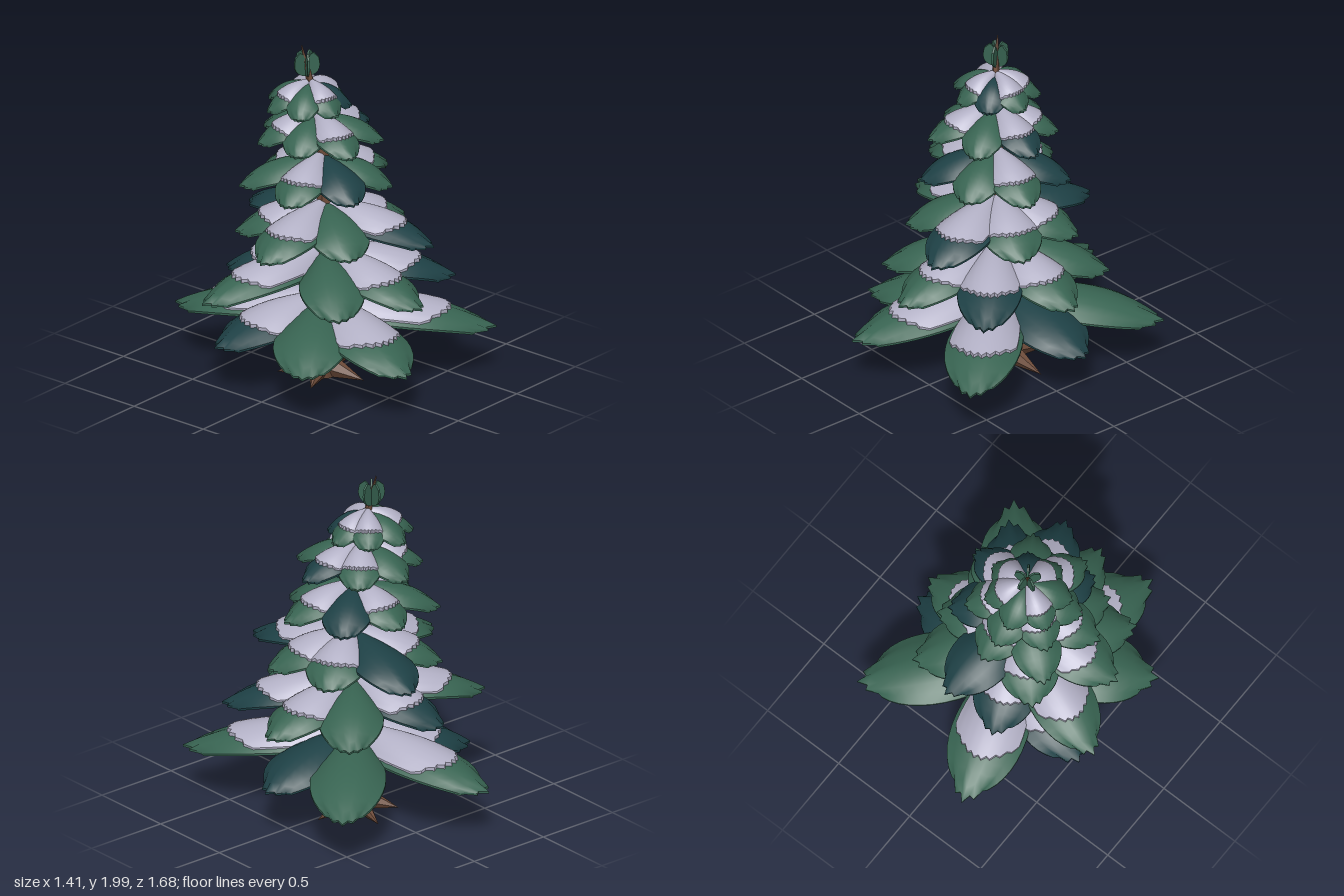
import * as THREE from 'three';

const flat = (name, color, extra = {}) => Object.assign(new THREE.MeshStandardMaterial({ color, ...extra }), { name });

// Height, centre x, centre z and radius of the leaning trunk
const TRUNK = [
  [0.01, 0.03, -0.01, 0.09], [0.08, 0.03, -0.01, 0.1], [0.3, 0.025, -0.01, 0.105], [0.55, 0.012, 0.01, 0.085],
  [1.15, 0.005, 0.035, 0.05], [1.4, -0.01, 0.02, 0.043], [1.84, -0.065, -0.03, 0.018], [2, -0.087, -0.06, 0.003],
];

// Each tier has seven evenly turned boughs: tip and root height, half width, first angle,
// bough lengths, which boughs are dark or snowy, and optional angle shifts in degrees
const TIERS = [
  { low: 0.29, high: 0.495, half: 0.21, start: -4, lengths: [0.69, 0.96, 0.88, 0.77, 0.67, 0.885, 0.91],
    dark: [0, 4], snowy: [1, 2, 4, 5], shift: [0, 2, 9, -2, 1, 0, 10] },
  { low: 0.585, high: 0.785, half: 0.18, start: -2, lengths: [0.65, 0.73, 0.71, 0.64, 0.77, 0.57, 0.62],
    dark: [1, 5], snowy: [0, 1, 2, 4, 5], shift: [0, -4, -11, -20, -3, -6, 6] },
  { low: 0.885, high: 1.065, half: 0.17, start: 21, lengths: [0.5, 0.65, 0.5, 0.62, 0.5, 0.61, 0.49],
    dark: [1, 5], snowy: [0, 1, 3, 4, 6] },
  { low: 1.185, high: 1.35, half: 0.14, start: 13, lengths: [0.445, 0.4, 0.43, 0.46, 0.47, 0.4, 0.43],
    dark: [2, 6], snowy: [0, 3, 5] },
  { low: 1.445, high: 1.595, half: 0.12, start: 6, lengths: [0.4, 0.38, 0.4, 0.33, 0.34, 0.34, 0.35],
    dark: [0], snowy: [0, 2, 4, 6] },
  { low: 1.64, high: 1.78, half: 0.095, start: 52, lengths: [0.23, 0.24, 0.26, 0.26, 0.26, 0.25, 0.25],
    dark: [0], snowy: [1, 3, 5, 6] },
];

function trunkCentre(y) {
  const i = TRUNK.findIndex(r => r[0] >= y);
  const a = TRUNK[i - 1], b = TRUNK[i], k = (y - a[0]) / (b[0] - a[0]);
  return [a[1] + (b[1] - a[1]) * k, a[2] + (b[2] - a[2]) * k];
}

function indexed(pos, idx) {
  const g = new THREE.BufferGeometry();
  g.setAttribute('position', new THREE.Float32BufferAttribute(pos, 3));
  g.setIndex(idx);
  g.computeVertexNormals();
  return g;
}

// Closed sheet: smooth top and underside, sharp rim; top(i, j) and bottom(i, j) give points
function sheet(rows, cols, top, bottom) {
  const pos = [], idx = [], n = cols + 1;
  for (const fn of [top, bottom]) {
    const base = pos.length / 3;
    for (let i = 0; i <= rows; i++) for (let j = 0; j <= cols; j++) pos.push(...fn(i, j));
    for (let i = 0; i < rows; i++) for (let j = 0; j < cols; j++) {
      const a = base + i * n + j, b = a + 1, c = a + n, d = c + 1;
      if (fn === top) idx.push(a, b, c, b, d, c);
      else idx.push(a, c, b, b, c, d);
    }
  }
  const loop = [];
  for (let j = 0; j < cols; j++) loop.push([0, j]);
  for (let i = 0; i < rows; i++) loop.push([i, cols]);
  for (let j = cols; j > 0; j--) loop.push([rows, j]);
  for (let i = rows; i > 0; i--) loop.push([i, 0]);
  loop.forEach((p, k) => {
    const q = loop[(k + 1) % loop.length], v = pos.length / 3;
    pos.push(...top(...p), ...bottom(...p), ...bottom(...q), ...top(...q));
    idx.push(v, v + 1, v + 2, v, v + 2, v + 3);
  });
  return indexed(pos, idx);
}

// Drooping bough along +x: domed across, narrow at the root, widest past the middle
function boughPoint(s, u, len, half, rise) {
  const width = s < 0.55 ? 1 - 0.7 * (1 - s / 0.55) ** 2 : 1 - 0.48 * ((s - 0.55) / 0.45) ** 2;
  return [s * len, rise * (1 - s ** 2.8) * (1 - 0.55 * u * u), u * half * width];
}

// Three blunt points across the end of a bough
const NOTCH = [0.86, 0.88, 0.955, 0.94, 1, 0.94, 0.955, 0.88, 0.86];

// Domed top over a nearly flat underside
function boughGeometry(len, half, rise) {
  const rim = 0.012;
  const at = (i, j) => {
    const s = i / 12, p = boughPoint(s, j / 4 - 1, len, half, rise - rim);
    p[0] *= 1 + (NOTCH[j] - 1) * s ** 3;
    return p;
  };
  return sheet(12, 8,
    (i, j) => { const p = at(i, j); p[1] += rim; return p; },
    (i, j) => { const p = at(i, j); p[1] = rise * (1 - (i / 12) ** 2.8) * 0.42; return p; });
}

// Snow follows the inner part of the bough and ends in a jagged curve
function snowGeometry(len, half, rise) {
  const at = lift => (i, j) => {
    const u = (j / 8 - 1) * 0.9, edge = 0.71 - 0.2 * u * u + (j % 2 ? 0.012 : -0.01);
    const p = boughPoint(0.02 + edge * i / 8, u, len, half, rise);
    p[1] += lift * (1 - 0.4 * u * u);
    return p;
  };
  return sheet(8, 16, at(0.022), at(-0.008));
}

// Nine-sided ridged trunk, tapering to a thin spike
function trunkGeometry() {
  const sides = 9, pos = [], idx = [];
  TRUNK.forEach(([y, x, z, r]) => {
    for (let k = 0; k < sides; k++) {
      const a = k / sides * Math.PI * 2, q = r * (k % 2 ? 0.94 : 1.03);
      pos.push(x + q * Math.cos(a), y, z + q * Math.sin(a));
    }
  });
  for (let i = 0; i < TRUNK.length - 1; i++) for (let k = 0; k < sides; k++) {
    const a = i * sides + k, b = i * sides + (k + 1) % sides;
    idx.push(a, a + sides, b, b, a + sides, b + sides);
  }
  for (let k = 1; k < sides - 1; k++) idx.push(0, k, k + 1);
  return indexed(pos, idx);
}

// Tapered root along +x, flat underneath
function rootGeometry(len) {
  const g = new THREE.ConeGeometry(0.06, len, 6).rotateZ(-Math.PI / 2).translate(0.05 + len / 2, 0, 0);
  const p = g.attributes.position;
  for (let i = 0; i < p.count; i++) {
    const k = 1 - (p.getX(i) - 0.05) / len;
    p.setY(i, Math.max(0.01, 0.02 + p.getY(i) * 1.2 + 0.05 * k * k));
  }
  return g;
}

export function createModel() {
  const tree = new THREE.Group();
  tree.name = 'snowyTree';
  const green = flat('needle green', 0x386452);
  const teal = flat('deep teal needles', 0x1e4146);
  const snow = flat('snow', 0xb2b0c5);
  const bark = flat('bark', 0x6d4b39, { flatShading: true });
  const add = (parent, name, geometry, material) => {
    const m = new THREE.Mesh(geometry, material);
    m.name = name;
    parent.add(m);
    return m;
  };

  add(tree, 'trunk', trunkGeometry(), bark);

  // Flared roots
  for (const [x, z] of [[0.32, -0.04], [0.08, 0.25], [-0.2, 0.1], [-0.13, -0.2], [0.1, -0.3]]) {
    const dx = x - 0.03, dz = z + 0.01;
    const root = add(tree, 'root', rootGeometry(Math.hypot(dx, dz) - 0.05), bark);
    root.position.set(0.03, 0, -0.01);
    root.rotation.y = -Math.atan2(dz, dx);
  }

  // Tiers of boughs, some carrying snow
  TIERS.forEach(({ low, high, half, start, lengths, dark, snowy, shift }, t) => {
    const tier = new THREE.Group();
    tier.name = 'tier' + (t + 1);
    tree.add(tier);
    const [cx, cz] = trunkCentre(high);
    lengths.forEach((len, k) => {
      const bough = new THREE.Group();
      bough.name = 'bough';
      bough.position.set(cx, low + 0.002 * (k % 3), cz);
      bough.rotation.y = -THREE.MathUtils.degToRad(start + k * 360 / 7 + (shift ? shift[k] : 0));
      add(bough, 'needles', boughGeometry(len, half, high - low), dark.includes(k) ? teal : green);
      if (snowy.includes(k)) add(bough, 'snowCap', snowGeometry(len, half, high - low), snow);
      tier.add(bough);
    });
  });

  // Upright leaflets fanned around the tip
  const leaflet = new THREE.Shape();
  leaflet.moveTo(0, 0);
  leaflet.bezierCurveTo(0.04, 0, 0.078, 0.03, 0.076, 0.075);
  leaflet.lineTo(0.07, 0.115);
  leaflet.lineTo(0.04, 0.142);
  leaflet.lineTo(0.022, 0.13);
  leaflet.lineTo(0, 0.075);
  const leafGeometry = new THREE.ExtrudeGeometry(leaflet, { depth: 0.012, bevelEnabled: false, curveSegments: 6 }).translate(0, 0, -0.006);
  for (let k = 0; k < 5; k++) {
    const leaf = add(tree, 'topLeaflet', leafGeometry, green);
    leaf.position.set(-0.07, 1.82, -0.04);
    leaf.rotation.y = k / 5 * Math.PI * 2 + 0.25;
  }
  return tree;
}
